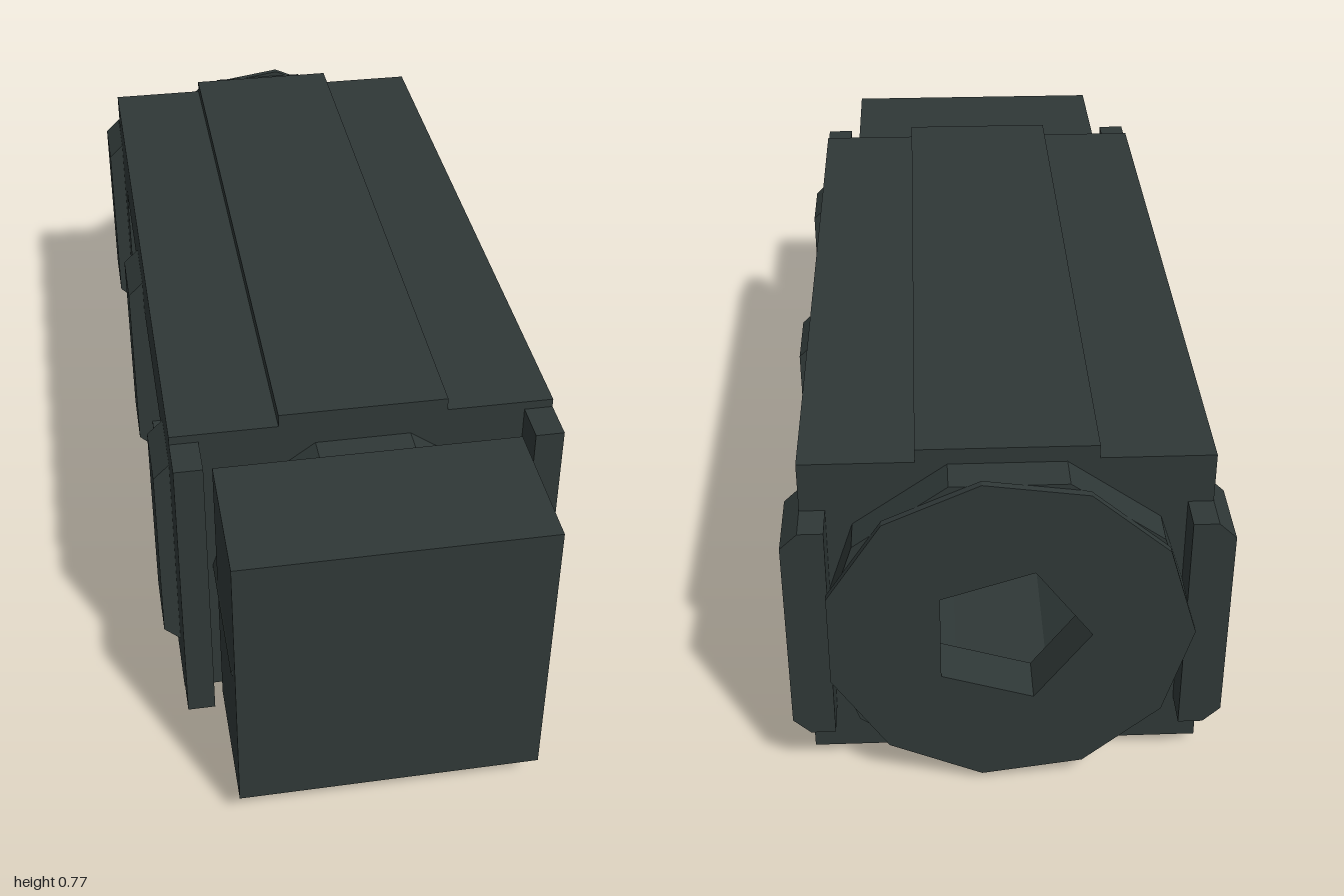
import * as THREE from 'three';

export function createModel() {
  const model = new THREE.Group();
  const body = new THREE.Group();
  body.name = 'cageAssembly';
  body.position.y = 0.386; // everything is built around the long axis
  model.add(body);

  const slate = new THREE.MeshStandardMaterial({ color: 0x2f3837 });
  slate.name = 'darkSlate';
  slate.flatShading = true;

  const add = (name, geometry) => {
    const mesh = new THREE.Mesh(geometry, slate);
    mesh.name = name;
    body.add(mesh);
    return mesh;
  };
  const ngon = (n, r, start = 0) => Array.from({ length: n }, (_, i) => {
    const a = start + (i / n) * Math.PI * 2;
    return new THREE.Vector2(r * Math.cos(a), r * Math.sin(a));
  });
  const toPoints = (list) => list.map(([x, y]) => new THREE.Vector2(x, y));
  // Prism along z between z0 and z1, with an optional hole
  const prism = (points, z0, z1, hole) => {
    const shape = new THREE.Shape(points);
    if (hole) shape.holes.push(new THREE.Path(hole));
    const g = new THREE.ExtrudeGeometry(shape, { depth: z1 - z0, bevelEnabled: false });
    return g.translate(0, 0, z0);
  };

  const bore = 0.32, sill = 0.17, sillX = 0.265;

  // Upper and lower shells: railed outside, faceted bore inside
  const arch = ngon(10, bore).slice(1, 5).reverse().map((p) => [p.x, p.y]);
  const shell = toPoints([
    [0.4, sill], [0.4, 0.358], [0.176, 0.358], [0.176, 0.386],
    [-0.176, 0.386], [-0.176, 0.358], [-0.4, 0.358], [-0.4, sill],
    [-sillX, sill], ...arch, [sillX, sill],
  ]);
  add('upperShell', prism(shell, -0.91, 0.63));
  add('lowerShell', prism(shell, -0.91, 0.63)).rotation.z = Math.PI;

  // Side posts between the windows, raised straps and front tabs
  for (const s of [1, -1]) {
    const side = s > 0 ? 'left' : 'right';
    const mirror = (list) => toPoints(list.map(([x, y]) => [x * s, y]));
    const post = mirror([[sillX, -sill], [0.4, -sill], [0.4, sill], [sillX, sill], [bore, 0]]);
    for (const [z0, z1] of [[0.43, 0.63], [-0.275, -0.12], [-0.91, -0.72]]) {
      add(side + 'Post', prism(post, z0, z1));
    }
    const strap = mirror([
      [0.35, -0.251], [0.4, -0.251], [0.435, -0.217],
      [0.435, 0.217], [0.4, 0.251], [0.35, 0.251],
    ]);
    for (const [z0, z1] of [[0.43, 0.585], [-0.275, -0.12], [-0.985, -0.83]]) {
      add(side + 'Strap', prism(strap, z0, z1));
    }
    add(side + 'FrontTab', new THREE.BoxGeometry(0.06, 0.678, 0.1).translate(s * 0.37, 0, 0.67));
  }

  // Front block on its ten-sided neck
  add('frontBlock', new THREE.BoxGeometry(0.64, 0.64, 0.305).translate(0, 0, 0.8475));
  add('frontNeck', prism(ngon(10, 0.323), 0.44, 0.95));

  // Rear disc and thin end cap with a five-sided opening
  const opening = ngon(5, 0.165, Math.PI);
  add('rearDisc', prism(ngon(10, 0.37), -0.985, -0.9, opening));
  add('rearCap', prism(ngon(11, 0.368, Math.PI), -1, -0.985, opening));

  return model;
}
